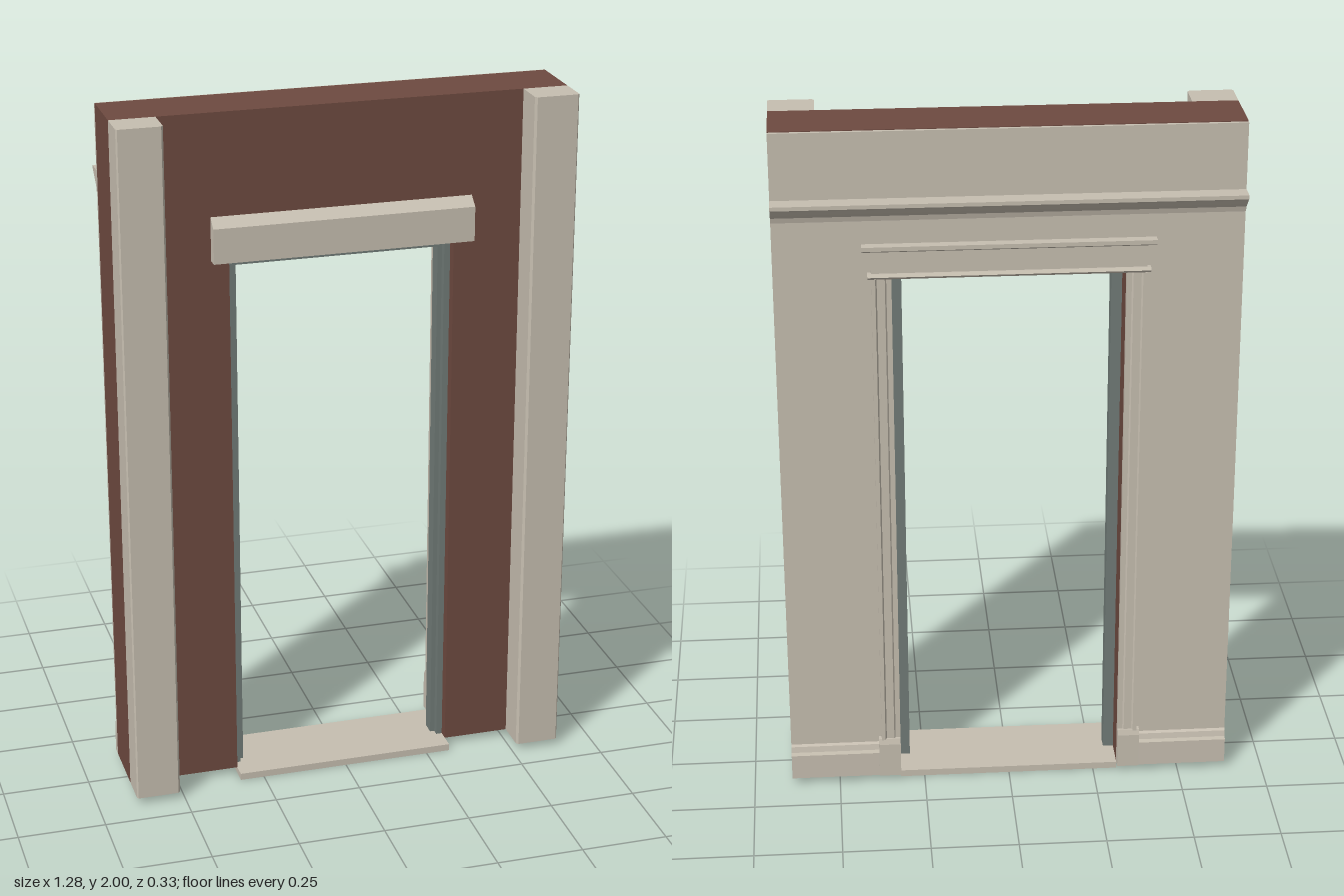
import * as THREE from 'three';

export function createModel() {
  const root = new THREE.Group();
  root.name = 'doorwayWall';
  const mat = (name, color) => {
    const m = new THREE.MeshStandardMaterial({ color });
    m.name = name;
    return m;
  };
  const brick = mat('brick brown', 0x6e4a40);
  const stone = mat('pale stone', 0xc6beb0);
  const metal = mat('grey frame', 0x717b77);

  const add = (name, geometry, material) => {
    const mesh = new THREE.Mesh(geometry, material);
    mesh.name = name;
    root.add(mesh);
    return mesh;
  };
  const shapeOf = pts => new THREE.Shape(pts.map(p => new THREE.Vector2(p[0], p[1])));
  const extrude = (shape, depth) => new THREE.ExtrudeGeometry(shape, { depth, bevelEnabled: false });

  // Doorway outline in x, y: an upside-down U, open at the bottom
  const arch = (outer, top, inner, innerTop, bottom, zBack, zFront) => {
    const s = shapeOf([[-outer, bottom], [-inner, bottom], [-inner, innerTop], [inner, innerTop],
      [inner, bottom], [outer, bottom], [outer, top], [-outer, top]]);
    return extrude(s, zFront - zBack).translate(0, 0, zBack);
  };
  // Moulding along x, profile given as [z, y]
  const alongX = (pts, x0, x1) =>
    extrude(shapeOf(pts), x1 - x0).translate(0, 0, -x1).rotateY(-Math.PI / 2);
  // Upright along y, profile given as [x, z]
  const alongY = (pts, y0, y1) =>
    extrude(shapeOf(pts.map(([x, z]) => [x, -z])), y1 - y0).rotateX(-Math.PI / 2).translate(0, y0, 0);

  // Wall core and the plaster skin on the back
  add('brickWall', arch(0.64, 2, 0.32, 1.585, 0.02, -0.107, 0.07), brick);
  add('plasterBack', arch(0.64, 1.998, 0.32, 1.585, 0.02, -0.117, -0.107), stone);

  // Door frame with a raised stop inside it
  add('doorFrame', arch(0.32, 1.585, 0.303, 1.568, 0.02, -0.022, 0.04), metal);
  add('doorStop', arch(0.303, 1.568, 0.29, 1.553, 0.02, -0.022, 0.02), metal);

  // Threshold
  add('threshold', new THREE.BoxGeometry(0.64, 0.02, 0.226).translate(0, 0.01, -0.002), stone);

  // Front lintel with a sloped top
  add('lintel', alongX([[0.07, 1.587], [0.102, 1.587], [0.102, 1.686], [0.07, 1.711]], -0.37, 0.37), stone);

  // Cornice across the back
  add('cornice', alongX([[-0.117, 1.75], [-0.123, 1.75], [-0.127, 1.765], [-0.142, 1.778],
    [-0.158, 1.793], [-0.168, 1.8], [-0.168, 1.811], [-0.117, 1.811]], -0.64, 0.64), stone);

  // Door head: bead, frieze and cap
  add('headBead', alongX([[-0.117, 1.585], [-0.132, 1.585], [-0.138, 1.592], [-0.132, 1.6],
    [-0.117, 1.6]], -0.385, 0.385), stone);
  add('headFrieze', new THREE.BoxGeometry(0.75, 0.07, 0.01).translate(0, 1.633, -0.122), stone);
  add('headCap', alongX([[-0.117, 1.66], [-0.132, 1.663], [-0.145, 1.67], [-0.145, 1.682],
    [-0.117, 1.682]], -0.4, 0.4), stone);

  for (const side of [-1, 1]) {
    const tag = side > 0 ? 'left' : 'right';
    const flip = pts => pts.map(([x, z]) => [side * x, z]);

    // Front pilaster with eased corners
    add(tag + 'Pilaster', alongY(flip([[0.513, 0.07], [0.64, 0.07], [0.64, 0.162], [0.636, 0.167],
      [0.519, 0.167], [0.513, 0.16]]), 0.02, 2), stone);

    // Stepped door casing standing on a plinth block
    add(tag + 'Casing', alongY(flip([[0.32, -0.117], [0.32, -0.126], [0.334, -0.126], [0.338, -0.13],
      [0.36, -0.13], [0.364, -0.135], [0.375, -0.135], [0.375, -0.117]]), 0.1, 1.585), stone);
    const plinth = [[-0.117, 0.02], [-0.139, 0.02], [-0.139, 0.125], [-0.134, 0.142], [-0.117, 0.142]];
    add(tag + 'Plinth', alongX(plinth, side > 0 ? 0.32 : -0.383, side > 0 ? 0.383 : -0.32), stone);

    // Baseboard
    const base = [[-0.117, 0.02], [-0.135, 0.02], [-0.134, 0.095], [-0.128, 0.103],
      [-0.124, 0.12], [-0.117, 0.125]];
    add(tag + 'Baseboard', alongX(base, side > 0 ? 0.383 : -0.64, side > 0 ? 0.64 : -0.383), stone);
  }
  return root;
}
